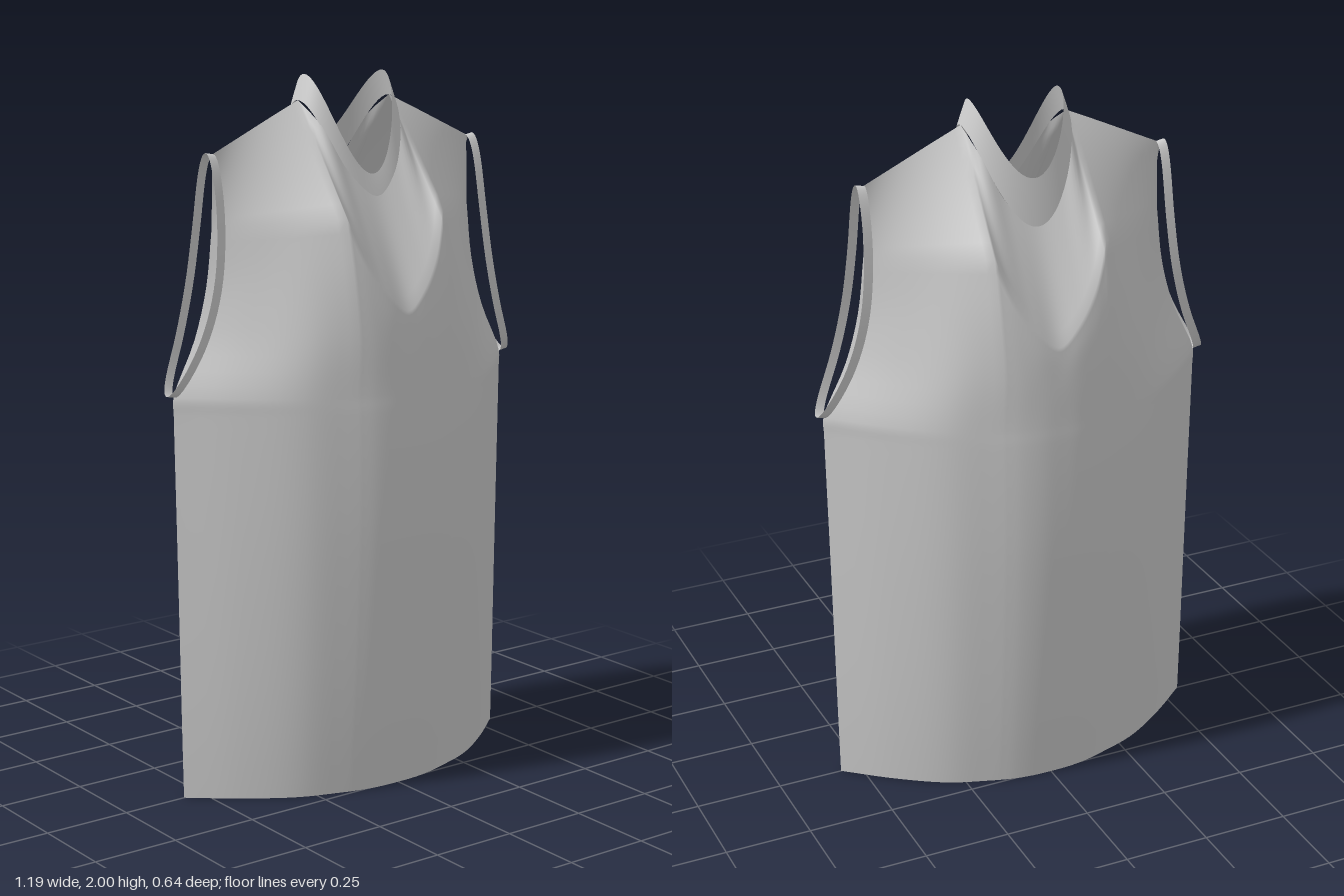
import * as THREE from 'three';

const V = (p) => new THREE.Vector3(...p);
const spline = (pts) => new THREE.CatmullRomCurve3(pts, false, 'centripetal');

// Horizontal section of the torso: column positions and depths as fractions
const COLS = [0, 0.1, 0.2, 0.29, 0.53, 0.77, 1];
const DEPTH = [1, 0.995, 0.965, 0.915, 0.73, 0.4, 0];
const section = (y, w, d) => COLS.map((c, i) => V([c * w, y, DEPTH[i] * d]));

// Armhole edge from underarm to shoulder
const ARM = [[0.575, 1.15, 0], [0.505, 1.3, 0], [0.465, 1.44, 0], [0.445, 1.6, 0], [0.44, 1.8, 0]];

// Half rows, centre to side, from the hem up to the chest ridge
const ROWS = [
  section(0, 0.56, 0.26), section(0.2, 0.563, 0.28), section(0.45, 0.566, 0.3),
  section(0.75, 0.57, 0.317), section(0.95, 0.573, 0.32), section(1.1, 0.575, 0.317),
  section(1.15, 0.575, 0.314),
  [[0, 1.25, 0.309], [0.055, 1.26, 0.307], [0.11, 1.28, 0.299], [0.16, 1.3, 0.285],
    [0.28, 1.3, 0.222], [0.4, 1.3, 0.11], ARM[1]].map(V),
  [[0, 1.32, 0.303], [0.058, 1.35, 0.3], [0.115, 1.4, 0.287], [0.163, 1.47, 0.267],
    [0.27, 1.46, 0.192], [0.37, 1.45, 0.098], ARM[2]].map(V),
  [[0, 1.37, 0.297], [0.06, 1.42, 0.289], [0.12, 1.51, 0.268], [0.165, 1.63, 0.236],
    [0.26, 1.62, 0.158], [0.355, 1.61, 0.08], ARM[3]].map(V),
];
// Neckline and shoulder seam
const TOP = [[0, 1.67, 0.155], [0.078, 1.735, 0.134], [0.135, 1.865, 0.079], [0.157, 1.93, 0],
  [0.25, 1.888, 0], [0.345, 1.844, 0], ARM[4]].map(V);

const mirror = (p) => new THREE.Vector3(-p.x, p.y, p.z);

// Full row: side, neck width, other side, with corners kept at the neck
function fullRow(half) {
  const side = spline(half.slice(3)).getPoints(15);
  const neck = half.slice(0, 4);
  const middle = spline([...neck.slice(1).reverse().map(mirror), ...neck]).getPoints(30);
  return [...side.map(mirror).reverse(), ...middle.slice(1, -1), ...side];
}

// Surface through rows of equal length
function loft(rows) {
  const n = rows[0].length, pos = [], idx = [];
  rows.forEach((r) => r.forEach((p) => pos.push(p.x, p.y, p.z)));
  for (let j = 0; j < rows.length - 1; j++) {
    for (let i = 0; i < n - 1; i++) {
      const a = j * n + i, b = a + 1, c = a + n, d = c + 1;
      idx.push(a, b, d, a, d, c);
    }
  }
  const g = new THREE.BufferGeometry();
  g.setAttribute('position', new THREE.Float32BufferAttribute(pos, 3));
  g.setIndex(idx);
  g.computeVertexNormals();
  return g;
}

function panelGeometry() {
  const half = [];
  const cols = COLS.map((_, i) => spline(ROWS.map((r) => r[i])));
  const last = ROWS.length - 1;
  for (let k = 0; k <= last * 4; k++) half.push(cols.map((c) => c.getPoint(k / (last * 4))));
  // Yoke runs straight from the chest ridge to the shoulders
  for (let k = 1; k <= 8; k++) half.push(ROWS[last].map((p, i) => p.clone().lerp(TOP[i], k / 8)));
  return loft(half.map(fullRow));
}

// Ring of points around the neck, dipping at the front and the back
function neckRing(r, y, front, back) {
  return Array.from({ length: 73 }, (_, i) => {
    const a = (i / 72) * Math.PI * 2, s = Math.sin(a);
    return new THREE.Vector3(-Math.cos(a) * r, y - s * s * (s > 0 ? front : back), s * r);
  });
}

// Narrow loop standing around the armhole edge
function armBandGeometry() {
  const edge = spline(ARM.map(V));
  const ring = (dx, dy) => Array.from({ length: 65 }, (_, i) => {
    const a = (i / 64) * Math.PI * 2;
    const p = edge.getPoint((1 - Math.cos(a)) / 2);
    return new THREE.Vector3(p.x + dx, p.y + dy, 0.07 * Math.sin(a));
  });
  return loft([ring(-0.004, 0), ring(0.022, 0.005)]);
}

export function createModel() {
  const model = new THREE.Group();
  model.name = 'sleevelessTop';
  const fabric = new THREE.MeshStandardMaterial({ color: 0xcccccc, side: THREE.DoubleSide });
  fabric.name = 'light grey fabric';
  const add = (name, geometry) => {
    const m = new THREE.Mesh(geometry, fabric);
    m.name = name;
    model.add(m);
    return m;
  };

  // Matching front and back panels joined at the sides and shoulders
  const panel = panelGeometry();
  add('frontPanel', panel);
  add('backPanel', panel).rotation.y = Math.PI;

  // Flared collar
  add('collar', loft([
    neckRing(0.157, 1.93, 0.27, 0.26),
    neckRing(0.146, 1.965, 0.268, 0.23),
    neckRing(0.134, 2, 0.27, 0.2),
  ]));

  // Armhole bands
  const band = armBandGeometry();
  add('leftArmBand', band);
  add('rightArmBand', band).rotation.y = Math.PI;

  return model;
}
